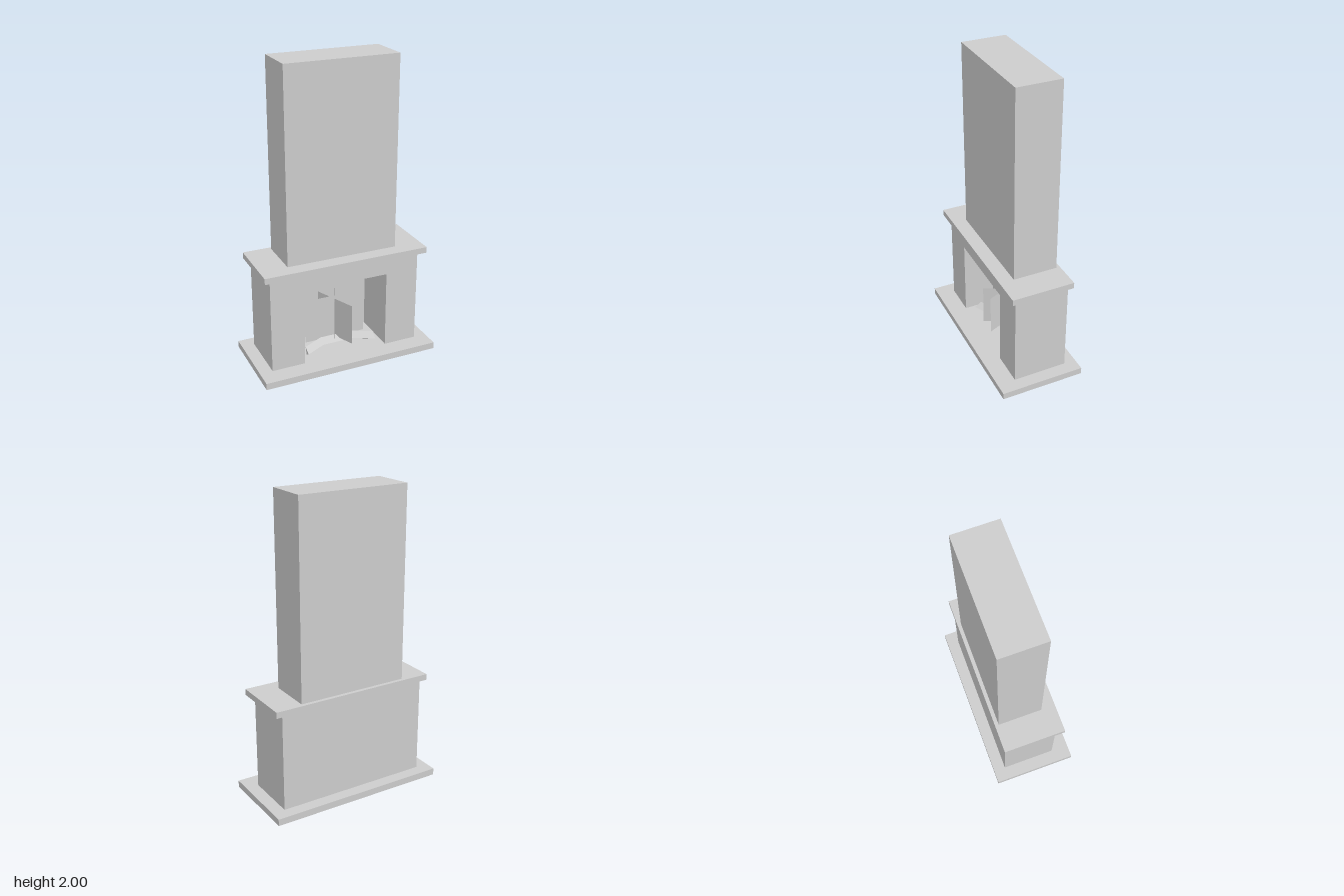
import * as THREE from 'three';

const stone = new THREE.MeshStandardMaterial({ color: 0xcccccc, side: THREE.DoubleSide });
stone.name = 'pale grey';

export function createModel() {
  const model = new THREE.Group();
  model.name = 'fireplace';

  const add = (name, geometry) => {
    const mesh = new THREE.Mesh(geometry, stone);
    mesh.name = name;
    model.add(mesh);
    return mesh;
  };
  // Box given by its half width and its y and z limits
  const block = (name, halfX, y0, y1, z0, z1) => {
    add(name, new THREE.BoxGeometry(halfX * 2, y1 - y0, z1 - z0))
      .position.set(0, (y0 + y1) / 2, (z0 + z1) / 2);
  };

  block('hearthSlab', 0.6, 0, 0.045, -0.28, 0.28);
  block('mantelShelf', 0.56, 0.69, 0.73, -0.215, 0.2);
  block('chimneyBreast', 0.375, 0.73, 2, -0.19, 0.105);
  block('fireboxBack', 0.515, 0.045, 0.69, -0.2, -0.16);

  // Surround: an arch-shaped outline open at the hearth
  const outline = [[-0.515, 0.045], [-0.29, 0.045], [-0.29, 0.57], [0.29, 0.57],
    [0.29, 0.045], [0.515, 0.045], [0.515, 0.69], [-0.515, 0.69]];
  const surround = new THREE.Shape(outline.map(([x, y]) => new THREE.Vector2(x, y)));
  add('surround', new THREE.ExtrudeGeometry(surround, { depth: 0.32, bevelEnabled: false }))
    .position.z = -0.16;

  // Flames: one wide upright sheet and two narrower sheets crossing it
  const sheet = (name, width, y0, y1, angle) => {
    const mesh = add(name, new THREE.PlaneGeometry(width, y1 - y0));
    mesh.position.set(0, (y0 + y1) / 2, -0.02);
    mesh.rotation.y = angle;
  };
  sheet('wideFlame', 0.43, 0.08, 0.39, 0);
  for (const side of [-1, 1]) {
    sheet(side < 0 ? 'rightFlame' : 'leftFlame', 0.31, 0.083, 0.365, side * Math.atan2(0.14, 0.06));
  }

  // Bent grate bar: a wedge section swept across the hearth, ends coming forward
  const stations = [[-0.245, 0.085], [-0.11, 0.015], [0.11, 0.015], [0.245, 0.085]];
  const section = [[0.1, -0.025], [0.07, 0.025], [0.05, -0.01]];
  const at = (i, j) => {
    const [x, z] = stations[i];
    const [y, dz] = section[j % 3];
    return [x, y, z + dz];
  };
  const points = [];
  for (let i = 0; i < 3; i++) {
    for (let j = 0; j < 3; j++) {
      const a = at(i, j), b = at(i, j + 1), c = at(i + 1, j + 1), d = at(i + 1, j);
      points.push(...a, ...b, ...c, ...a, ...c, ...d);
    }
  }
  points.push(...at(0, 0), ...at(0, 2), ...at(0, 1), ...at(3, 0), ...at(3, 1), ...at(3, 2));
  const grate = new THREE.BufferGeometry();
  grate.setAttribute('position', new THREE.Float32BufferAttribute(points, 3));
  grate.computeVertexNormals();
  add('grateBar', grate);

  return model;
}
